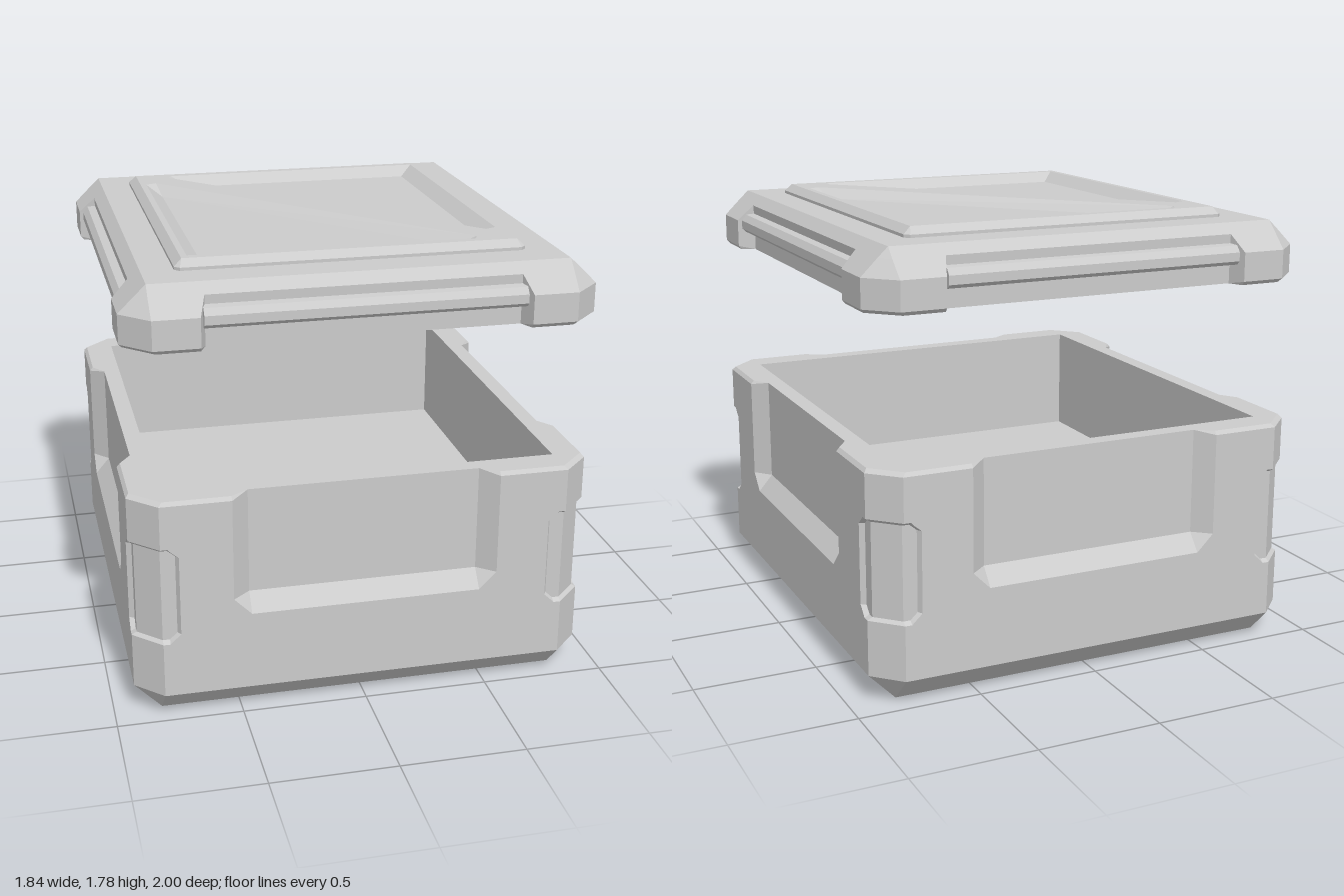
import * as THREE from 'three';
import { mergeGeometries } from 'three/addons/utils/BufferGeometryUtils.js';

const material = new THREE.MeshStandardMaterial({ color: 0xcccccc, flatShading: true });

// Skins a list of rings; folded quads are split along the diagonal that lies further out.
function loft(rings, sx = 1, sz = 1) {
  const pos = [];
  const tri = (...pts) => {
    if (sx * sz < 0) pts.reverse();
    for (const p of pts) pos.push(p[0] * sx, p[1], p[2] * sz);
  };
  for (let j = 0; j < rings.length - 1; j++) {
    for (let i = 0; i < rings[j].length - 1; i++) {
      const a = rings[j][i], b = rings[j][i + 1];
      const c = rings[j + 1][i + 1], d = rings[j + 1][i];
      if (a[0] + a[2] + c[0] + c[2] >= b[0] + b[2] + d[0] + d[2]) {
        tri(a, b, c); tri(a, c, d);
      } else {
        tri(a, b, d); tri(b, c, d);
      }
    }
  }
  const geo = new THREE.BufferGeometry();
  geo.setAttribute('position', new THREE.Float32BufferAttribute(pos, 3));
  geo.computeVertexNormals();
  return geo;
}

// A quarter outline from front centre to side centre.
// Points 0-1 carry the wide recess, points 4-5 the corner pocket;
// narrow pulls the pocket edge (points 3-4) towards the corner.
function quarterRing(front, side, [y, X, Z, c = 0, recess = 0, pocket = 0, narrow = 0]) {
  const cut = i => (i < 2 ? recess : i > 3 ? pocket : 0);
  const slide = i => (i === 3 || i === 4 ? narrow : 0);
  const f = front.map((u, i) => [Math.min(u + slide(i), X - c), y, Z - cut(i)]);
  const s = side.map((v, i) => [X - cut(i), y, Math.min(v + slide(i), Z - c)]);
  return f.concat(s.reverse());
}

function fourQuarters(front, side, specs) {
  const rings = specs.map(s => quarterRing(front, side, s));
  const parts = [];
  for (const sx of [1, -1]) for (const sz of [1, -1]) parts.push(loft(rings, sx, sz));
  return mergeGeometries(parts);
}

function addMesh(group, name, geo) {
  const mesh = new THREE.Mesh(geo, material);
  mesh.name = name;
  group.add(mesh);
  return mesh;
}

function makeBody() {
  const body = new THREE.Group();
  body.name = 'crateBody';
  // each row: height, half width, half depth, corner chamfer, recess depth, pocket depth, pocket narrowing
  addMesh(body, 'crateShell', fourQuarters(
    [0, 0.46, 0.53, 0.738, 0.75, 0.81],
    [0, 0.51, 0.58, 0.818, 0.83, 0.89],
    [
      [0.035, 0, 0],
      [0.035, 0.65, 0.73],
      [0, 0.67, 0.75],
      [0, 0.81, 0.89],
      [0.11, 0.918, 1, 0.11],
      [0.335, 0.918, 1, 0.11, 0, 0, 0.03],
      [0.347, 0.918, 1, 0.11, 0, 0.02, 0.03],
      [0.375, 0.918, 1, 0.11, 0, 0.02],
      [0.43, 0.918, 1, 0.11, 0, 0.02],
      [0.50, 0.918, 1, 0.11, 0.06, 0.02],
      [0.70, 0.918, 1, 0.11, 0.06, 0.02],
      [0.725, 0.918, 1, 0.11, 0.06, 0.02, 0.03],
      [0.738, 0.918, 1, 0.11, 0.06, 0, 0.03],
      [0.915, 0.918, 1, 0.11, 0.06],
      [0.93, 0.905, 0.987, 0.11, 0.047],
      // rim, inner walls and floor
      [0.93, 0.79, 0.87],
      [0.47, 0.79, 0.87],
      [0.47, 0, 0],
    ]));
  return body;
}

function makeLid() {
  const lid = new THREE.Group();
  lid.name = 'lid';
  addMesh(lid, 'lidShell', fourQuarters(
    [0, 0.605, 0.63, 0.74, 0.76, 0.81],
    [0, 0.665, 0.69, 0.82, 0.84, 0.89],
    [
      [1.54, 0, 0],
      [1.54, 0.77, 0.85],
      [1.51, 0.785, 0.865],
      [1.51, 0.905, 0.987, 0.11, 0.057],
      [1.525, 0.918, 1, 0.11, 0.07],
      [1.64, 0.918, 1, 0.11, 0.07],
      [1.705, 0.852, 0.932, 0.042],
      [1.745, 0.81, 0.89],
      // raised panel
      [1.745, 0.685, 0.745, 0.02],
      [1.757, 0.685, 0.745, 0.02],
      [1.785, 0.655, 0.715],
    ]));

  // grip bars inside the four side recesses
  const profile = [[-0.075, 1.585], [-0.03, 1.59], [-0.015, 1.605], [-0.015, 1.64], [-0.035, 1.665], [-0.075, 1.67]];
  for (let k = 0; k < 4; k++) {
    const [reach, half] = k % 2 ? [1, 0.615] : [0.918, 0.675];
    const shape = new THREE.Shape(profile.map(([r, y]) => new THREE.Vector2(reach + r, y)));
    const geo = new THREE.ExtrudeGeometry(shape, { depth: half * 2, bevelEnabled: false });
    geo.translate(0, 0, -half);
    addMesh(lid, 'gripBar', geo).rotation.y = k * Math.PI / 2;
  }

  // panel face with two blunt triangular openings, leaving a diagonal brace
  const outer = [[-0.63, 0.53], [-0.63, -0.68], [0.5, -0.68], [0.515, -0.645], [-0.585, 0.55]];
  const inner = [[-0.57, 0.45], [-0.57, -0.62], [0.43, -0.62], [0.43, -0.62], [-0.57, 0.45]];
  const face = new THREE.Shape([[-0.655, -0.715], [0.655, -0.715], [0.655, 0.715], [-0.655, 0.715]]
    .map(p => new THREE.Vector2(...p)));
  for (const s of [1, -1]) {
    face.holes.push(new THREE.Path(outer.map(([x, y]) => new THREE.Vector2(x * s, y * s))));
  }
  const faceGeo = new THREE.ShapeGeometry(face);
  faceGeo.rotateX(-Math.PI / 2);
  faceGeo.translate(0, 1.785, 0);
  addMesh(lid, 'panelFrame', faceGeo);

  // sunken triangles with sloped edges
  const ring = (pts, y) => [...pts, pts[0]].map(([x, v]) => [x, y, -v]);
  const middle = inner.map(() => [-0.3, -0.35]);
  for (const turn of [0, Math.PI]) {
    const geo = loft([ring(outer, 1.785), ring(inner, 1.745), ring(middle, 1.745)]);
    addMesh(lid, 'sunkenTriangle', geo).rotation.y = turn;
  }
  return lid;
}

export function createModel() {
  const crate = new THREE.Group();
  crate.name = 'crate';
  crate.add(makeBody(), makeLid());
  return crate;
}
